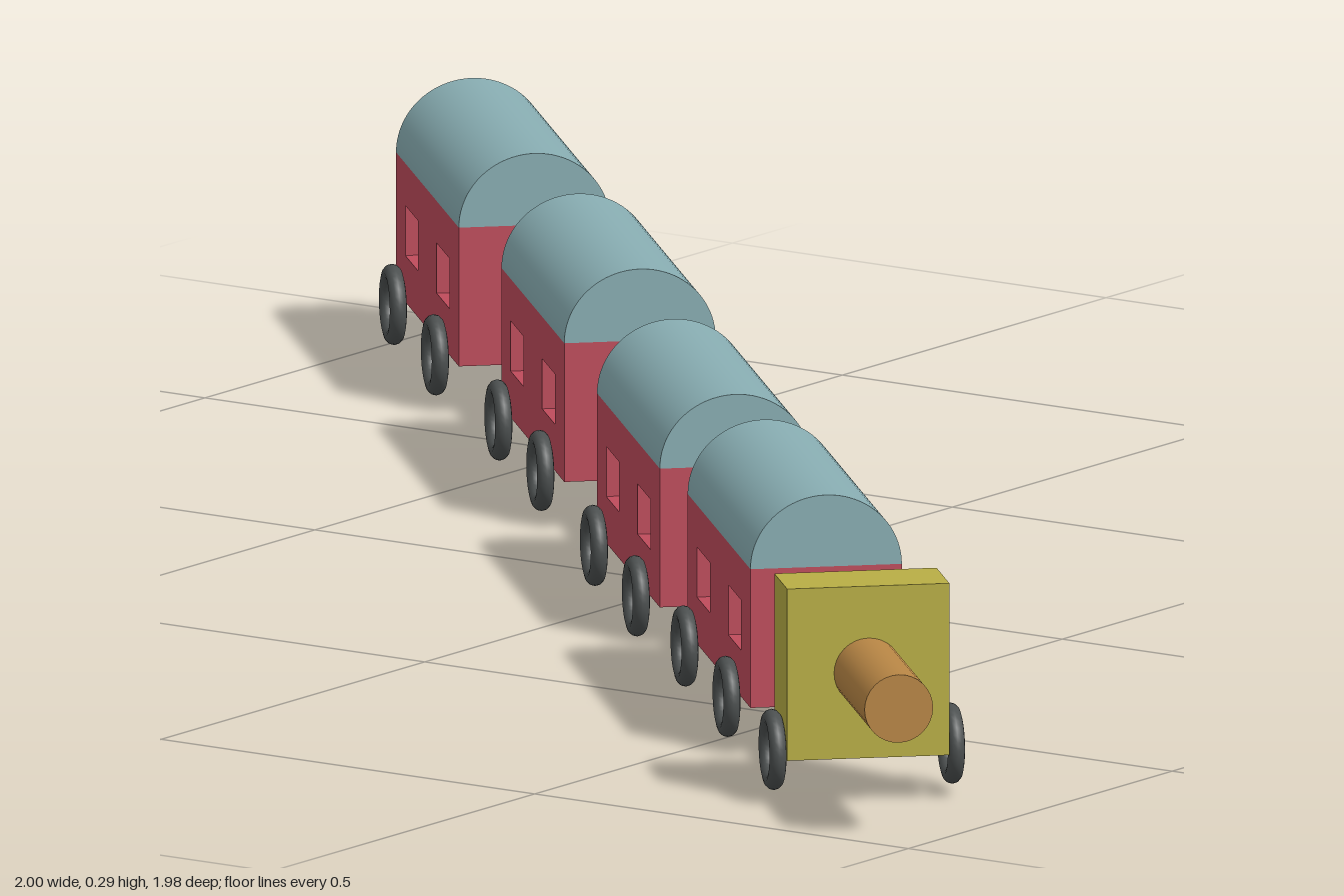
import * as THREE from 'three';

const mat = (color) => new THREE.MeshStandardMaterial({ color });
const red = mat(0xbf4c5c), teal = mat(0x88adb2), blue = mat(0x6a80b0);
const yellow = mat(0xb8ae45), brown = mat(0xb88645), dark = mat(0x4c5050);

const L = 0.404, W = 0.168, H = 0.155, BASE = 0.046;

function add(parent, name, geometry, material, x = 0, y = 0, z = 0) {
  const mesh = new THREE.Mesh(geometry, material);
  mesh.name = name;
  mesh.position.set(x, y, z);
  parent.add(mesh);
  return mesh;
}

function rect(path, cx, cy, w, h) {
  path.moveTo(cx - w / 2, cy - h / 2);
  path.lineTo(cx + w / 2, cy - h / 2);
  path.lineTo(cx + w / 2, cy + h / 2);
  path.lineTo(cx - w / 2, cy + h / 2);
  path.closePath();
  return path;
}

// Ring wheels in pairs either side of the vehicle
const ring = new THREE.TorusGeometry(0.035, 0.0095, 12, 32);
function addWheels(parent, xs) {
  for (const x of xs)
    for (const side of [-1, 1]) add(parent, 'wheel', ring, dark, x, 0.0455, side * 0.099);
}

// Carriage walls with two window openings cut right through
const side = rect(new THREE.Shape(), 0, H / 2, L, H);
for (const x of [-0.101, 0.101]) side.holes.push(rect(new THREE.Path(), x, 0.08, 0.083, 0.056));
const bodyGeo = new THREE.ExtrudeGeometry(side, { depth: W, bevelEnabled: false });
bodyGeo.translate(0, 0, -W / 2);

// Barrel roof: half cylinder lying along the carriage
const roofGeo = new THREE.CylinderGeometry(W / 2, W / 2, L, 40, 1, false, 0, Math.PI);
roofGeo.rotateZ(Math.PI / 2);
roofGeo.scale(1, 0.08 / (W / 2), 1);

function carriage() {
  const car = new THREE.Group();
  car.name = 'carriage';
  add(car, 'carriageBody', bodyGeo, red, 0, BASE);
  add(car, 'carriageRoof', roofGeo, teal, 0, BASE + H);
  // Coupling bar reaching forward to the next vehicle
  add(car, 'coupler', new THREE.BoxGeometry(0.2, 0.041, 0.041), blue, L / 2 + 0.01 + 0.1, 0.104);
  addWheels(car, [-0.135, 0.135]);
  return car;
}

function engine() {
  const group = new THREE.Group();
  group.name = 'engine';
  add(group, 'cab', new THREE.BoxGeometry(0.083, 0.192, 0.18), yellow, 0, 0.137);
  // Boiler projecting from the front of the cab
  const boiler = new THREE.CylinderGeometry(0.038, 0.038, 0.22, 32);
  boiler.rotateZ(Math.PI / 2);
  add(group, 'boiler', boiler, brown, 0.128, 0.137);
  addWheels(group, [0]);
  return group;
}

export function createModel() {
  const train = new THREE.Group();
  train.name = 'train';
  // Vehicles strung out along the diagonal: x, y, z
  const spots = [
    [-0.8, 0.011, -0.782],
    [-0.354, 0.011, -0.35],
    [0.083, 0, 0.088],
    [0.5, 0.011, 0.507],
    [0.798, 0.011, 0.802],
  ];
  spots.forEach((p, i) => {
    const vehicle = i < 4 ? carriage() : engine();
    vehicle.position.set(...p);
    vehicle.rotation.y = -Math.PI / 4;
    train.add(vehicle);
  });
  return train;
}
